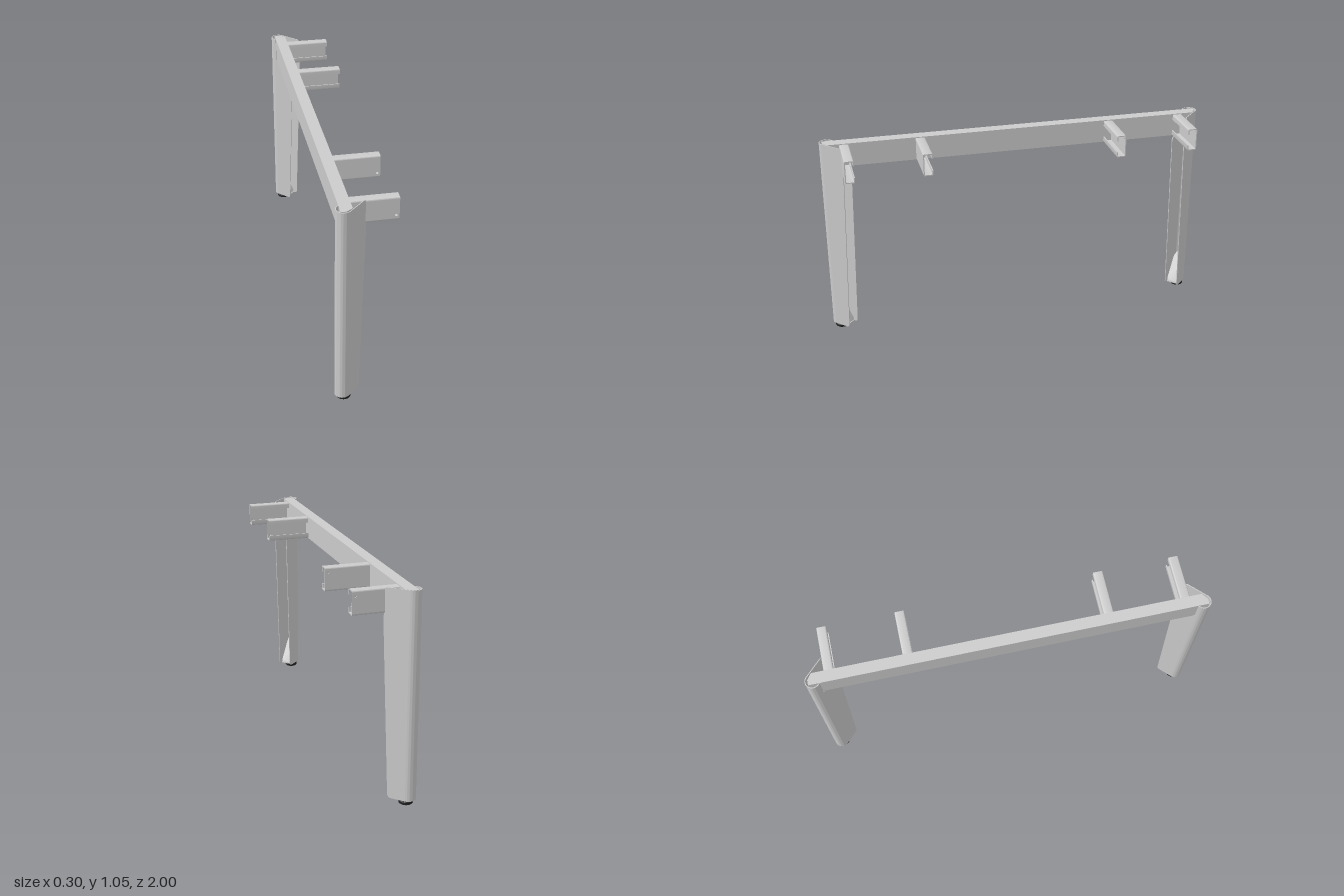
import * as THREE from 'three';
import { toCreasedNormals } from 'three/addons/utils/BufferGeometryUtils.js';

const steel = new THREE.MeshStandardMaterial({ color: 0xcccccc });
const rubber = new THREE.MeshStandardMaterial({ color: 0x222222 });

const R = 0.037;      // outer radius of the folded leg
const T = 0.004;      // sheet thickness
const TOP = 1.05;
const BOTTOM = 0.025;

function part(name, geometry, material = steel) {
  const mesh = new THREE.Mesh(geometry, material);
  mesh.name = name;
  return mesh;
}

function extrude(shape, depth, curveSegments = 16) {
  const g = new THREE.ExtrudeGeometry(shape, { depth, bevelEnabled: false, curveSegments });
  return toCreasedNormals(g, 0.6);
}

// Closed shape from [x, y, cornerRadius] points
function roundedShape(points) {
  const shape = new THREE.Shape();
  const n = points.length;
  points.forEach(([x, y, r = 0], i) => {
    const p = new THREE.Vector2(x, y);
    const toward = ([qx, qy]) => new THREE.Vector2(qx, qy).sub(p).setLength(r).add(p);
    const a = toward(points[(i + n - 1) % n]);
    const b = toward(points[(i + 1) % n]);
    if (i === 0) shape.moveTo(a.x, a.y);
    else shape.lineTo(a.x, a.y);
    if (r > 0) shape.quadraticCurveTo(x, y, b.x, b.y);
  });
  shape.closePath();
  return shape;
}

// Plate that fits inside the fold: round at the back, soft corners in front
function insertPlate(front, thickness) {
  const w = R - T;
  const c = 0.012;
  const s = new THREE.Shape();
  s.moveTo(0, -w);
  s.lineTo(front - c, -w);
  s.quadraticCurveTo(front, -w, front, -w + c);
  s.lineTo(front, w - c);
  s.quadraticCurveTo(front, w, front - c, w);
  s.lineTo(0, w);
  s.absarc(0, 0, w, Math.PI / 2, Math.PI * 1.5, false);
  return extrude(s, thickness).rotateX(-Math.PI / 2);
}

// Sheet-metal leg folded to a U that opens diagonally inward; k = end (+1 or -1)
function createLeg(k) {
  const leg = new THREE.Group();
  leg.name = k > 0 ? 'frontLeg' : 'backLeg';
  leg.position.set(-0.115, 0, k * 0.962);
  leg.rotation.y = k * Math.PI / 4;

  const arc = new THREE.Shape();
  arc.absarc(0, 0, R, Math.PI / 2, Math.PI * 1.5, false);
  arc.absarc(0, 0, R - T, Math.PI * 1.5, Math.PI / 2, true);
  const fold = extrude(arc, TOP - BOTTOM, 20).rotateX(-Math.PI / 2);
  fold.translate(0, BOTTOM, 0);
  leg.add(part('legFold', fold));

  // Outer flange runs the full height, inner one is cut away under the beam
  const outer = roundedShape([
    [0, BOTTOM], [0.09, BOTTOM, 0.02], [0.127, 0.91, 0.01], [0.123, 0.93], [0.123, TOP, 0.02], [0, TOP],
  ]);
  const inner = roundedShape([
    [0, BOTTOM], [0.09, BOTTOM, 0.02], [0.123, 0.922, 0.015], [0.01, 0.922], [0.01, TOP], [0, TOP],
  ]);
  const mid = R - T / 2;
  [['outerFlange', outer, k], ['innerFlange', inner, -k]].forEach(([name, shape, side]) => {
    const g = extrude(shape, T);
    g.translate(0, 0, side * mid - T / 2);
    leg.add(part(name, g));
  });

  // Sloping tongue and the flat plate that carries the foot
  const tongue = insertPlate(0.07, 0.004);
  const p = tongue.attributes.position;
  for (let i = 0; i < p.count; i++) p.setY(i, p.getY(i) + 0.137 - 1.5 * p.getX(i));
  leg.add(part('footTongue', toCreasedNormals(tongue, 0.6)));
  const plate = insertPlate(0.075, 0.005);
  plate.translate(0, 0.029, 0);
  leg.add(part('footPlate', plate));

  // Levelling foot
  const profile = [[0, 0], [0.028, 0], [0.034, 0.005], [0.035, 0.016], [0.031, 0.02], [0.031, 0.029], [0, 0.029]]
    .map(([x, y]) => new THREE.Vector2(x, y));
  const foot = part('levellingFoot', toCreasedNormals(new THREE.LatheGeometry(profile, 28), 0.5), rubber);
  foot.position.x = 0.011;
  leg.add(foot);
  return leg;
}

// C-section bracket, web on the outward side
function createBracket(k, z) {
  const bracket = new THREE.Group();
  bracket.name = 'bracket';
  const x0 = -0.075, length = 0.225, y0 = 0.93, y1 = 1.045, t = 0.005, depth = 0.048, lip = 0.028;

  const web = roundedShape([[x0, y0 + 0.008], [x0 + length, y0 + 0.008], [x0 + length, y1 - 0.008], [x0, y1 - 0.008]]);
  const hole = new THREE.Path();
  hole.absarc(0.135, (y0 + y1) / 2 - k * 0.033, 0.006, 0, Math.PI * 2, true);
  web.holes.push(hole);
  const webGeometry = extrude(web, t, 10);
  webGeometry.translate(0, 0, k * (z - t / 2) - t / 2);
  bracket.add(part('bracketWeb', webGeometry));

  // Flange with turned-in lip, top and bottom
  [[y1, -1, 'upperLip'], [y0, 1, 'lowerLip']].forEach(([y, dir, name]) => {
    const hook = roundedShape([
      [0, 0.008], [0, 0, 0.007], [depth, 0, 0.007], [depth, lip], [depth - t, lip],
      [depth - t, t, 0.002], [t, t, 0.002], [t, 0.008],
    ].map(([u, v, r]) => [k * (u - z), y + dir * v, r]));
    const g = extrude(hook, length, 6).rotateY(Math.PI / 2);
    g.translate(x0, 0, 0);
    bracket.add(part(name, g));
  });
  return bracket;
}

export function createModel() {
  const model = new THREE.Group();
  model.name = 'deskLegFrame';

  // Cross beam with mitred ends tucked into the legs
  const plan = roundedShape([
    [-0.132, -0.985], [-0.105, -0.985], [-0.074, -0.962],
    [-0.074, 0.962], [-0.105, 0.985], [-0.132, 0.985],
  ]);
  const beam = extrude(plan, 0.12).rotateX(-Math.PI / 2);
  beam.translate(0, 0.929, 0);
  model.add(part('crossBeam', beam));

  for (const k of [1, -1]) {
    model.add(createLeg(k));
    for (const z of [0.903, 0.52]) model.add(createBracket(k, z));
  }
  return model;
}
